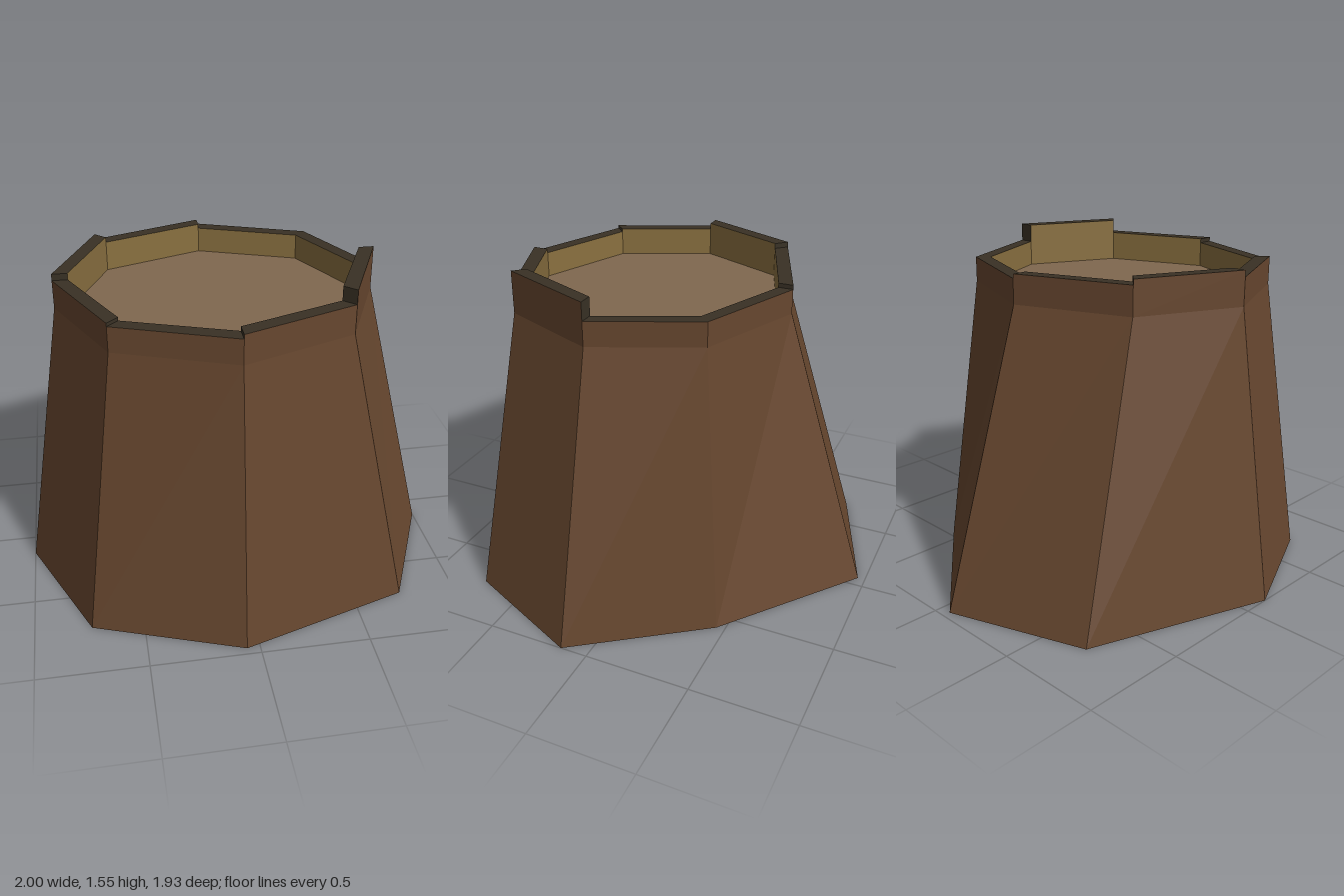
import * as THREE from 'three';

// Octagon corners as [x, z], starting at the front and going round by the left side
const BASE = [[-0.06, 0.965], [0.73, 0.72], [1, 0.13], [0.58, -0.46], [-0.06, -0.965], [-0.7, -0.73], [-1, 0.13], [-0.74, 0.72]];
const OUTER = [[-0.06, 0.81], [0.45, 0.61], [0.66, 0.135], [0.45, -0.34], [-0.06, -0.54], [-0.58, -0.34], [-0.79, 0.135], [-0.58, 0.61]];
const INNER = [[-0.06, 0.735], [0.4, 0.56], [0.59, 0.135], [0.4, -0.29], [-0.06, -0.47], [-0.53, -0.29], [-0.72, 0.135], [-0.53, 0.56]];
// Height of the bark rim on each side
const RIM = [1.485, 1.55, 1.465, 1.465, 1.485, 1.51, 1.48, 1.465];
const COLLAR_Y = 1.35, CUT_Y = 1.345, N = 8;

const at = ([x, z], y) => [x, y, z];

// Flat-shaded mesh from convex polygons, corners anticlockwise from outside
function facets(name, polygons, material) {
  const pos = [];
  for (const p of polygons) {
    for (let i = 1; i < p.length - 1; i++) pos.push(...p[0], ...p[i], ...p[i + 1]);
  }
  const geometry = new THREE.BufferGeometry();
  geometry.setAttribute('position', new THREE.Float32BufferAttribute(pos, 3));
  geometry.computeVertexNormals();
  const mesh = new THREE.Mesh(geometry, material);
  mesh.name = name;
  return mesh;
}

function material(name, color) {
  const m = new THREE.MeshStandardMaterial({ color });
  m.name = name;
  return m;
}

export function createModel() {
  const bark = material('bark', 0x67472f);
  const barkEdge = material('barkEdge', 0x393125);
  const sapwood = material('sapwood', 0x8a7040);
  const heartwood = material('heartwood', 0x80684f);

  const trunk = [], collar = [], rimTop = [], rimEnds = [], lining = [];
  for (let i = 0; i < N; i++) {
    const j = (i + 1) % N, h = RIM[i], next = RIM[j];
    // Sloping trunk side and the upright bark band above it
    trunk.push([at(BASE[i], 0), at(BASE[j], 0), at(OUTER[j], COLLAR_Y), at(OUTER[i], COLLAR_Y)]);
    collar.push([at(OUTER[i], COLLAR_Y), at(OUTER[j], COLLAR_Y), at(OUTER[j], h), at(OUTER[i], h)]);
    // Rim top and inner wall
    rimTop.push([at(OUTER[i], h), at(OUTER[j], h), at(INNER[j], h), at(INNER[i], h)]);
    lining.push([at(INNER[j], CUT_Y), at(INNER[i], CUT_Y), at(INNER[i], h), at(INNER[j], h)]);
    // Step between this side and the next, facing the lower one
    if (h !== next) {
      rimEnds.push([at(OUTER[j], next), at(INNER[j], next), at(INNER[j], h), at(OUTER[j], h)]);
    }
  }

  const stump = new THREE.Group();
  stump.name = 'treeStump';
  stump.add(
    facets('trunk', trunk, bark),
    facets('barkBand', collar, bark),
    facets('rimTop', rimTop, barkEdge),
    facets('rimSteps', rimEnds, barkEdge),
    facets('rimLining', lining, sapwood),
    facets('cutTop', [INNER.map((p) => at(p, CUT_Y))], heartwood),
    facets('underside', [BASE.map((p) => at(p, 0)).reverse()], heartwood),
  );
  return stump;
}
